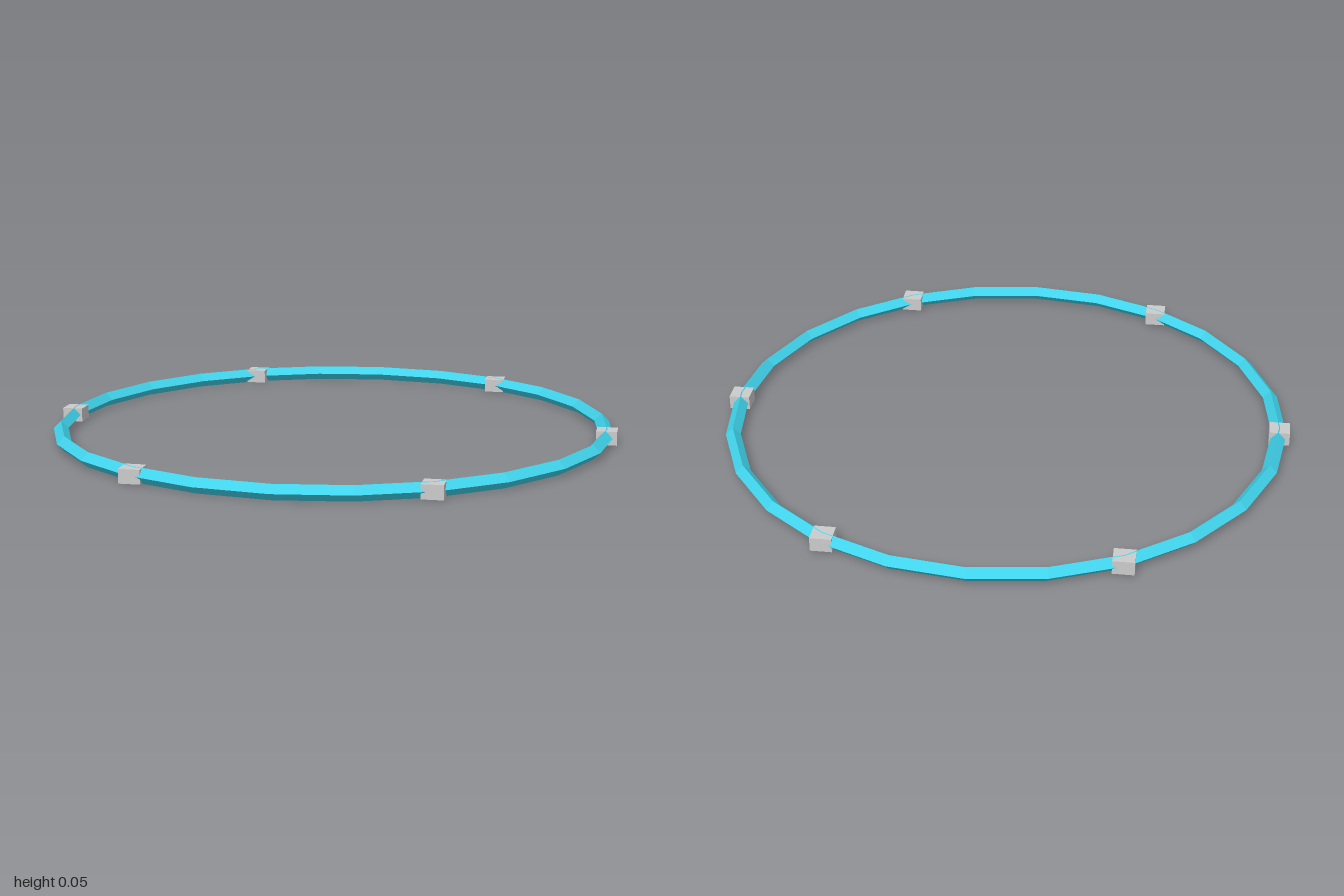
import * as THREE from 'three';

const R = 0.964;      // ring radius
const TUBE = 0.026;   // half thickness of the diamond section

export function createModel() {
  const model = new THREE.Group();
  model.name = 'ring';

  // Hoop: 24 straight segments with a diamond cross-section
  const hoop = new THREE.Mesh(
    new THREE.TorusGeometry(R, TUBE, 4, 24).rotateX(-Math.PI / 2),
    new THREE.MeshStandardMaterial({ color: 0x40d4ec, flatShading: true })
  );
  hoop.name = 'hoop';
  hoop.position.y = TUBE;
  model.add(hoop);

  // Six square blocks spaced evenly, all aligned to the axes
  const blockGeometry = new THREE.BoxGeometry(0.072, 0.048, 0.072);
  const grey = new THREE.MeshStandardMaterial({ color: 0xcccccc, flatShading: true });
  for (let i = 0; i < 6; i++) {
    const a = (i * Math.PI) / 3;
    const block = new THREE.Mesh(blockGeometry, grey);
    block.name = `block${i + 1}`;
    block.position.set(R * Math.cos(a), TUBE, R * Math.sin(a));
    model.add(block);
  }
  return model;
}
